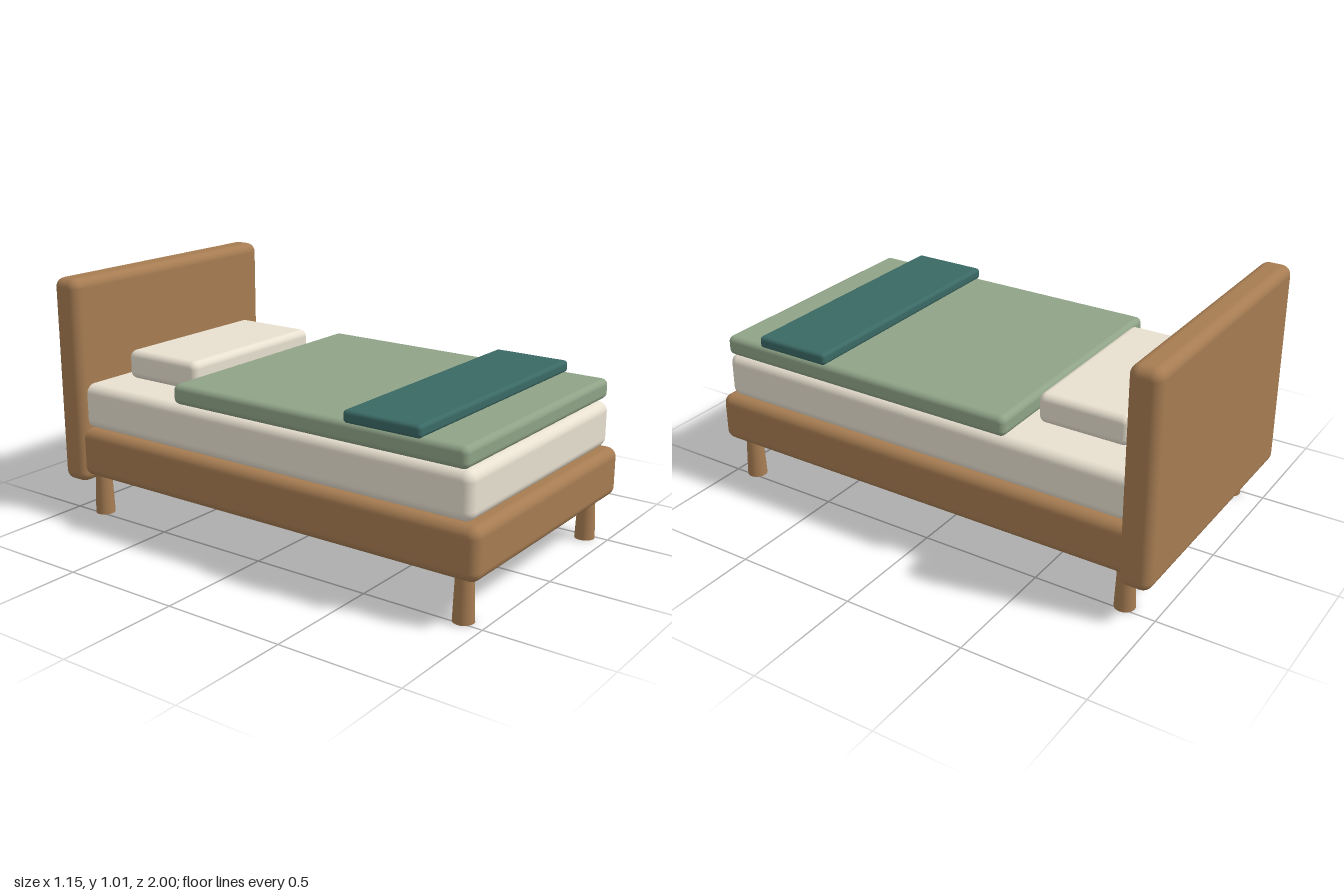
import * as THREE from 'three';
import { RoundedBoxGeometry } from 'three/addons/geometries/RoundedBoxGeometry.js';

const mat = (color) => new THREE.MeshStandardMaterial({ color });

export function createModel() {
  const bed = new THREE.Group();
  bed.name = 'bed';
  const wood = mat(0xa67c52), cream = mat(0xe8e0d0), sage = mat(0x8fa387), teal = mat(0x3a6965);

  // Rounded slab centred on x, given its half width and its y and z ranges
  function slab(name, material, halfWidth, [y0, y1], [z0, z1], radius) {
    const geometry = new RoundedBoxGeometry(halfWidth * 2, y1 - y0, z1 - z0, 5, radius);
    const mesh = new THREE.Mesh(geometry, material);
    mesh.name = name;
    mesh.position.set(0, (y0 + y1) / 2, (z0 + z1) / 2);
    bed.add(mesh);
  }

  // Wooden structure
  slab('headboard', wood, 0.577, [0.15, 1.014], [-1, -0.873], 0.04);
  slab('frame', wood, 0.558, [0.18, 0.384], [-0.955, 1], 0.04);

  // Bedding
  slab('mattress', cream, 0.537, [0.385, 0.572], [-0.915, 0.96], 0.04);
  slab('pillow', cream, 0.373, [0.579, 0.7], [-0.794, -0.42], 0.03);
  slab('blanket', sage, 0.546, [0.578, 0.66], [-0.384, 0.945], 0.025);
  slab('throw', teal, 0.55, [0.655, 0.704], [0.435, 0.763], 0.016);

  // Four round legs, slightly wider at the foot
  const legGeometry = new THREE.CylinderGeometry(0.033, 0.041, 0.2, 24);
  for (const [side, x] of [['left', 0.476], ['right', -0.476]]) {
    for (const [end, z] of [['Front', 0.91], ['Back', -0.865]]) {
      const leg = new THREE.Mesh(legGeometry, wood);
      leg.name = `${side}${end}Leg`;
      leg.position.set(x, 0.1, z);
      bed.add(leg);
    }
  }
  return bed;
}
